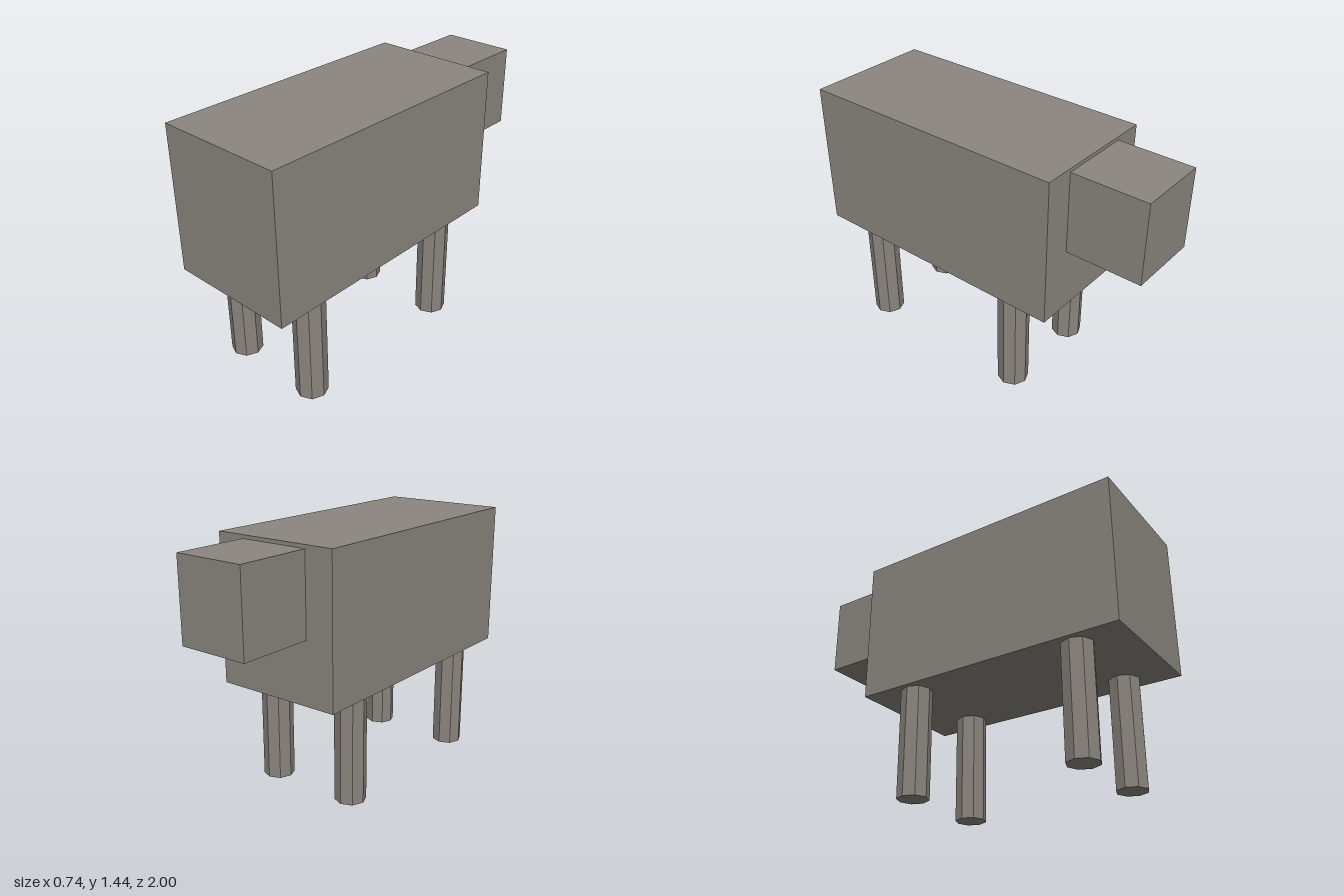
import * as THREE from 'three';

export function createModel() {
  const model = new THREE.Group();
  const wool = new THREE.MeshStandardMaterial({ color: 0x8b867e, flatShading: true });
  wool.name = 'warm grey';

  const add = (name, geometry, x, y, z) => {
    const mesh = new THREE.Mesh(geometry, wool);
    mesh.name = name;
    mesh.position.set(x, y, z);
    model.add(mesh);
  };

  // Body block, and the head block at the -z end
  add('body', new THREE.BoxGeometry(0.74, 0.825, 1.57), 0, 1.0275, 0.215);
  add('head', new THREE.BoxGeometry(0.41, 0.455, 0.43), 0, 1.1925, -0.785);

  // Four octagonal legs
  const legHeight = 0.615;
  const leg = new THREE.CylinderGeometry(0.0875, 0.0875, legHeight, 8);
  for (const [end, z] of [['front', 0.72], ['back', -0.285]]) {
    for (const [side, x] of [['Left', 0.26], ['Right', -0.26]]) {
      add(`${end}${side}Leg`, leg, x, legHeight / 2, z);
    }
  }
  return model;
}
